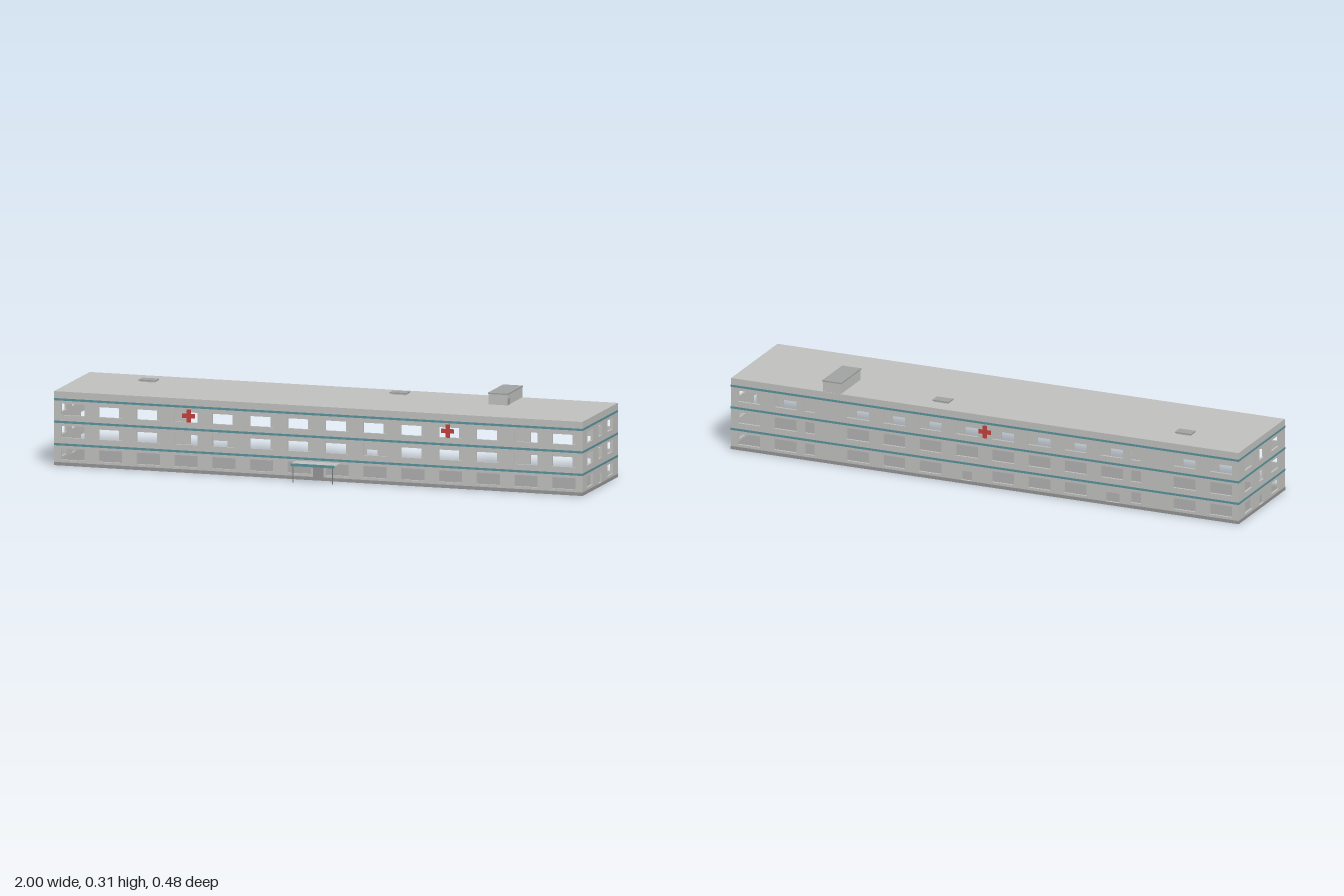
import * as THREE from 'three';

const mat = (name, color) => Object.assign(new THREE.MeshStandardMaterial({ color }), { name });

export function createModel() {
  const M = {
    wall: mat('wall grey', 0xbfbfbd),
    plinth: mat('plinth grey', 0x949494),
    rooftop: mat('rooftop grey', 0xa0a1a1),
    teal: mat('teal', 0x5a929c),
    red: mat('red', 0xc4403c),
    steel: mat('steel', 0x7c7e7e),
  };
  const model = new THREE.Group();
  model.name = 'building';

  // box given by its limits
  const box = (name, m, x0, x1, y0, y1, z0, z1, parent = model) => {
    const mesh = new THREE.Mesh(new THREE.BoxGeometry(x1 - x0, y1 - y0, z1 - z0), m);
    mesh.position.set((x0 + x1) / 2, (y0 + y1) / 2, (z0 + z1) / 2);
    mesh.name = name;
    parent.add(mesh);
    return mesh;
  };

  const X = 0.999, F = 0.17, B = -0.238, BASE = 0.012, TOP = 0.27, T = 0.008;
  const floors = [[0.021, 0.063], [0.102, 0.145], [0.184, 0.226]];
  const doorY = [0.0125, 0.048];

  // thin wall in the xy plane with rectangular openings [u0, u1, y0, y1]
  const wallGeometry = (u0, u1, openings) => {
    const rect = (P, a, b, c, d) => {
      const p = new P();
      p.moveTo(a, c); p.lineTo(b, c); p.lineTo(b, d); p.lineTo(a, d); p.closePath();
      return p;
    };
    const shape = rect(THREE.Shape, u0, u1, BASE, TOP - 0.004);
    openings.forEach(o => shape.holes.push(rect(THREE.Path, ...o)));
    return new THREE.ExtrudeGeometry(shape, { depth: T, bevelEnabled: false });
  };
  const wall = (name, geometry) => {
    const mesh = new THREE.Mesh(geometry, M.wall);
    mesh.name = name;
    model.add(mesh);
    return mesh;
  };

  // openings of the two long walls, fourteen bays each
  const front = [], back = [];
  floors.forEach(([y0, y1], f) => {
    for (let i = 0; i < 14; i++) {
      const c = (i - 6.5) / 7;
      front.push([c - 0.044, c + 0.044, y0, y1]);
      if (i === 2) back.push([-0.615, -0.575, y0, y1]);
      else if (i === 11) back.push([0.67, 0.71, y0, y1]);
      else if (f === 0 && i === 3) back.push([-0.53, -0.475, ...doorY]);
      else if (f === 0 && i === 7) back.push([0.05, 0.092, ...doorY]);
      else back.push([c - 0.044, c + 0.044, y0, y1]);
    }
  });
  wall('frontWall', wallGeometry(-X, X, front)).position.z = F - T;
  wall('backWall', wallGeometry(-X, X, back)).position.z = B;

  // end walls: wide, narrow, wide window, with a door on the ground floor
  const ends = [];
  floors.forEach(([y0, y1], f) => {
    ends.push([0.05, 0.116, y0, y1], [-0.182, -0.116, y0, y1]);
    ends.push(f ? [-0.053, -0.013, y0, y1] : [-0.052, -0.015, ...doorY]);
  });
  const endGeometry = wallGeometry(-F + T, -B - T, ends.map(([a, b, c, d]) => [-b, -a, c, d]));
  endGeometry.rotateY(Math.PI / 2);
  wall('leftEndWall', endGeometry).position.x = X - T;
  wall('rightEndWall', endGeometry).position.x = -X;

  // roof and plinth
  box('roof', M.wall, -X, X, TOP - 0.004, TOP, B, F);
  box('plinth', M.plinth, -1, 1, 0, BASE, B - 0.001, F + 0.001);

  // teal bands around every storey
  [0.077, 0.159, 0.241].forEach(y => {
    const g = new THREE.Group();
    g.name = 'band';
    box('bandFront', M.teal, -1, 1, y - 0.004, y + 0.004, F, F + 0.001, g);
    box('bandBack', M.teal, -1, 1, y - 0.004, y + 0.004, B - 0.001, B, g);
    for (const s of [-1, 1])
      box('bandEnd', M.teal, s > 0 ? X : -1, s > 0 ? 1 : -X, y - 0.004, y + 0.004, B, F, g);
    model.add(g);
  });

  // red crosses
  for (const [x, z] of [[-0.49, F + 0.001], [0.49, F + 0.001], [0, B - 0.001]]) {
    const g = new THREE.Group();
    g.name = 'cross';
    const y = 0.208;
    box('crossUpright', M.red, x - 0.008, x + 0.008, y - 0.024, y + 0.024, z - 0.001, z + 0.001, g);
    for (const s of [-1, 1])
      box('crossArm', M.red, x + s * 0.016 - 0.008, x + s * 0.016 + 0.008, y - 0.008, y + 0.008, z - 0.001, z + 0.001, g);
    model.add(g);
  }

  // entrance with canopy
  box('frontDoor', M.plinth, -0.02, 0.02, BASE, 0.048, F, F + 0.001);
  box('canopy', M.wall, -0.083, 0.083, 0.062, 0.068, F, 0.237);
  box('canopyEdge', M.teal, -0.083, 0.083, 0.06, 0.07, 0.237, 0.239);
  for (const s of [-1, 1]) {
    const post = new THREE.Mesh(new THREE.CylinderGeometry(0.002, 0.002, 0.062, 8), M.steel);
    post.position.set(s * 0.075, 0.031, 0.232);
    post.name = 'canopyPost';
    model.add(post);
  }

  // stair head and hatches on the roof
  box('stairHead', M.wall, 0.567, 0.638, TOP, 0.308, -0.236, -0.064);
  box('stairHeadRoof', M.rooftop, 0.565, 0.64, 0.308, 0.313, -0.238, -0.062);
  box('stairHeadDoor', M.rooftop, 0.638, 0.639, TOP, 0.293, -0.091, -0.068);
  for (const [x, z] of [[-0.737, -0.122], [0.2, -0.16]]) {
    box('hatchCurb', M.wall, x - 0.027, x + 0.027, TOP, 0.274, z - 0.016, z + 0.016);
    box('hatchLid', M.rooftop, x - 0.032, x + 0.032, 0.274, 0.279, z - 0.02, z + 0.02);
  }
  return model;
}
